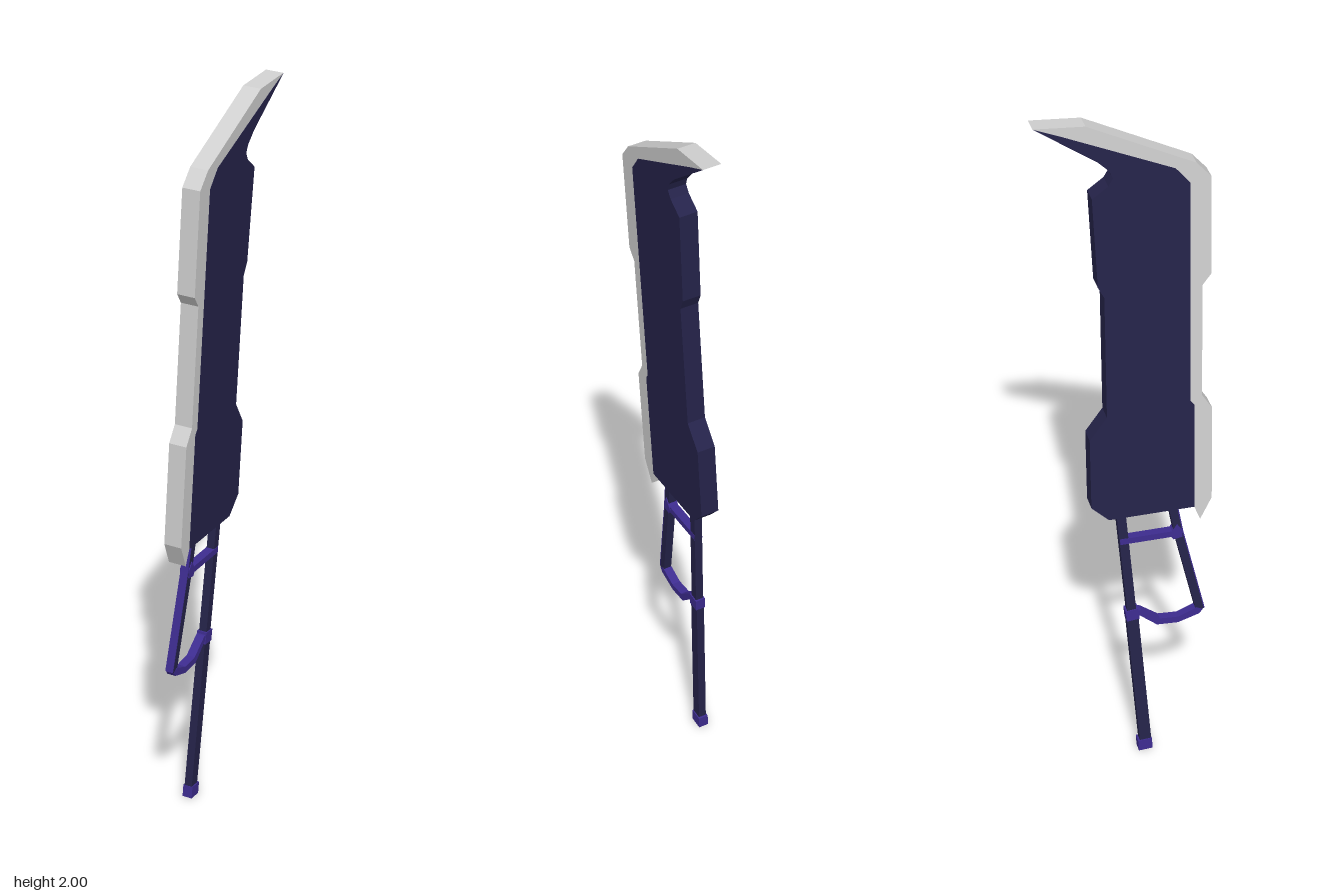
import * as THREE from 'three';

const navy = new THREE.MeshStandardMaterial({ color: 0x25234a });
navy.name = 'navy';
const silver = new THREE.MeshStandardMaterial({ color: 0xcfcfcf });
silver.name = 'silver';
const violet = new THREE.MeshStandardMaterial({ color: 0x3d2c8f });
violet.name = 'violet';

// All profiles are [z, y] points in the plane of the blade.
function plate(name, points, thickness, material) {
  const shape = new THREE.Shape(points.map(([z, y]) => new THREE.Vector2(z, y)));
  const geometry = new THREE.ExtrudeGeometry(shape, { depth: thickness, bevelEnabled: false });
  geometry.translate(0, 0, -thickness / 2);
  geometry.rotateY(-Math.PI / 2);
  const mesh = new THREE.Mesh(geometry, material);
  mesh.name = name;
  return mesh;
}

// Square bar between two [z, y] points.
function bar(name, a, b, width, thickness, material) {
  const dz = b[0] - a[0], dy = b[1] - a[1];
  const mesh = new THREE.Mesh(new THREE.BoxGeometry(thickness, Math.hypot(dz, dy), width), material);
  mesh.position.set(0, (a[1] + b[1]) / 2, (a[0] + b[0]) / 2);
  mesh.rotation.x = Math.atan2(dz, dy);
  mesh.name = name;
  return mesh;
}

export function createModel() {
  const model = new THREE.Group();
  model.name = 'bladeWeapon';
  const tilted = new THREE.Group();
  tilted.name = 'tiltedWeapon';
  tilted.position.x = -0.065;
  tilted.rotation.z = -0.0575;
  model.add(tilted);

  // Line where the cutting edge meets the blade body, bottom to tip
  const seam = [[0.177, 0.823], [0.177, 1.147], [0.167, 1.16], [0.167, 1.80],
    [0.13, 1.845], [-0.156, 1.972], [-0.223, 2.0]];

  // Cutting edge
  tilted.add(plate('cuttingEdge', [...seam,
    [-0.093, 1.99], [0.183, 1.853], [0.221, 1.81], [0.221, 1.533], [0.198, 1.503],
    [0.198, 1.173], [0.225, 1.13], [0.225, 0.845], [0.193, 0.78]], 0.049, silver));

  // Blade body with hooked tip and stepped spine
  tilted.add(plate('bladeBody', [...seam,
    [-0.066, 1.89], [-0.036, 1.86], [-0.028, 1.84], [-0.04, 1.82], [-0.082, 1.79],
    [-0.072, 1.538], [-0.056, 1.506], [-0.056, 1.147], [-0.103, 1.083],
    [-0.103, 0.87], [-0.056, 0.823]], 0.05, navy));

  // Pole, narrower above the guard joint
  tilted.add(bar('lowerPole', [0.04, 0.02], [0.006, 0.485], 0.033, 0.022, navy));
  tilted.add(bar('upperPole', [0.006, 0.485], [-0.021, 0.84], 0.025, 0.022, navy));
  tilted.add(bar('poleCap', [0.0385, 0.002], [0.0365, 0.037], 0.04, 0.028, violet));
  tilted.add(bar('poleJoint', [0.008, 0.468], [0.005, 0.502], 0.036, 0.028, violet));

  // Hand guard strut with a coloured front face
  const strut = [[0.119, 0.84], [0.137, 0.735], [0.197, 0.465]];
  for (let i = 0; i < 2; i++) {
    tilted.add(bar('guardStrut', strut[i], strut[i + 1], 0.022, 0.022, navy));
    const face = strut.slice(i, i + 2).map(([z, y]) => [z + 0.012, y + 0.003]);
    tilted.add(bar('guardStrutFace', face[0], face[1], 0.003, 0.022, violet));
  }

  // Crossbar and its joint
  tilted.add(bar('guardCrossbar', [0.13, 0.735], [-0.024, 0.735], 0.018, 0.024, violet));
  tilted.add(plate('guardJoint', [[0.147, 0.722], [0.147, 0.745], [0.133, 0.765],
    [0.122, 0.748], [0.112, 0.735], [0.122, 0.718]], 0.027, violet));

  // Curved lower end of the guard
  tilted.add(plate('guardCurve', [[0.204, 0.465], [0.188, 0.474], [0.135, 0.453],
    [0.083, 0.457], [0.03, 0.497], [0.008, 0.497], [0.008, 0.478], [0.028, 0.478],
    [0.075, 0.438], [0.135, 0.434], [0.195, 0.453]], 0.024, violet));

  return model;
}
